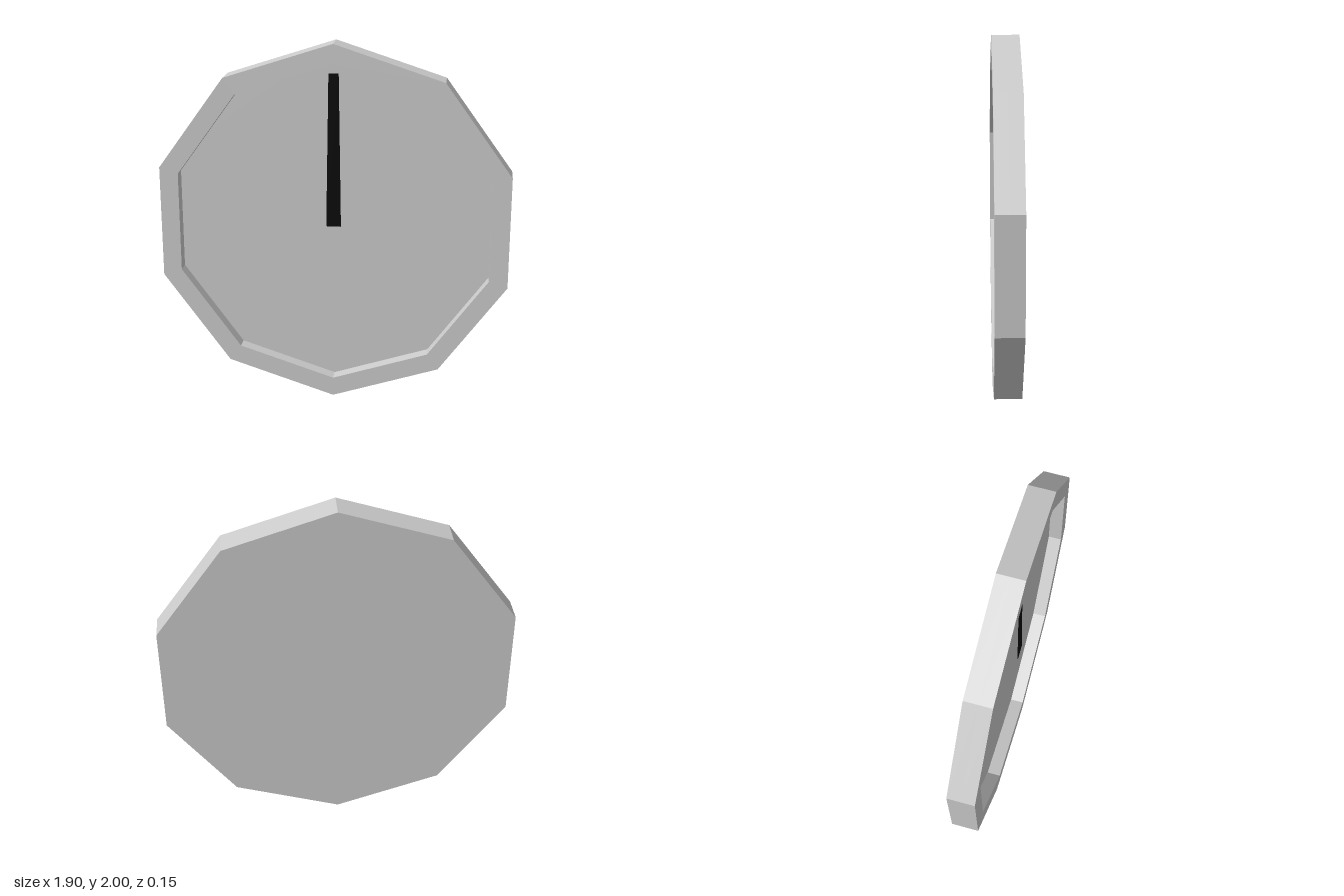
import * as THREE from 'three';

const SIDES = 10, HALF_DEPTH = 0.074, FLOOR_Z = 0, INNER = 0.893;

// Regular polygon with a corner pointing straight up
function polygon(radius, PathType = THREE.Shape) {
  const pts = [];
  for (let i = 0; i < SIDES; i++) {
    const a = Math.PI / 2 + (i / SIDES) * Math.PI * 2;
    pts.push(new THREE.Vector2(Math.cos(a) * radius, Math.sin(a) * radius));
  }
  return new PathType(pts);
}

function slab(shape, z0, z1) {
  return new THREE.ExtrudeGeometry(shape, { depth: z1 - z0, bevelEnabled: false }).translate(0, 1, z0);
}

export function createModel() {
  const group = new THREE.Group();
  group.name = 'clock';
  const grey = new THREE.MeshStandardMaterial({ color: 0xcccccc });
  grey.name = 'light grey';
  const black = new THREE.MeshStandardMaterial({ color: 0x080808, side: THREE.DoubleSide });
  black.name = 'black';

  const add = (name, geometry, material) => {
    const mesh = new THREE.Mesh(geometry, material);
    mesh.name = name;
    group.add(mesh);
  };

  // Solid back half, whose front is the dial
  add('dial', slab(polygon(1), -HALF_DEPTH, FLOOR_Z), grey);

  // Raised rim around the recessed dial
  const rim = polygon(1);
  rim.holes.push(polygon(INNER, THREE.Path));
  add('rim', slab(rim, FLOOR_Z, HALF_DEPTH), grey);

  // Thin tapered hand, floating just above the dial
  const hand = new THREE.Shape([
    new THREE.Vector2(-0.04, 0), new THREE.Vector2(0.04, 0),
    new THREE.Vector2(0.027, 0.84), new THREE.Vector2(-0.027, 0.84),
  ]);
  add('hand', slab(hand, 0.047, 0.05), black);

  return group;
}
